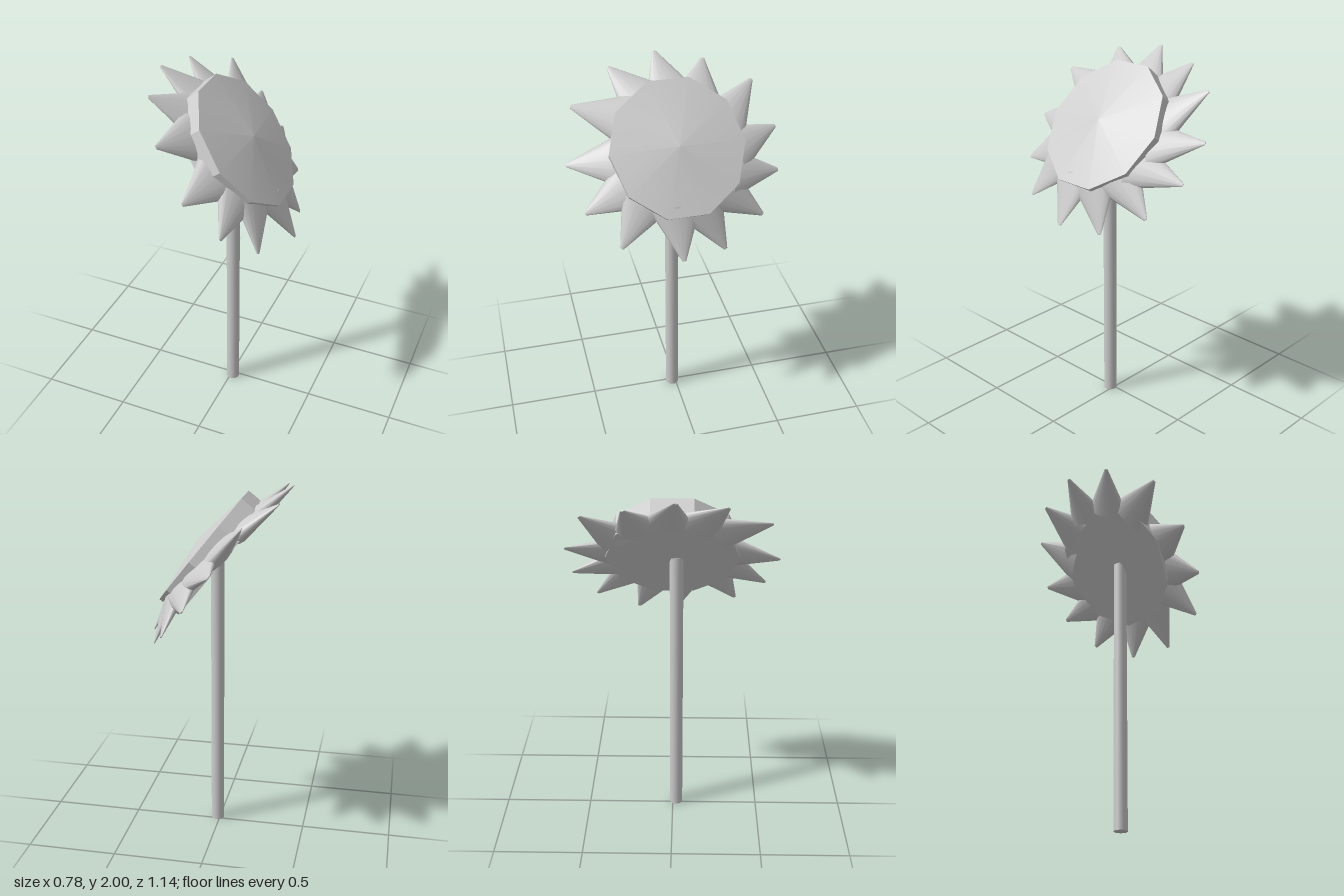
import * as THREE from 'three';

const grey = new THREE.MeshStandardMaterial({ color: 0xcccccc });
const greyFlat = new THREE.MeshStandardMaterial({ color: 0xcccccc, flatShading: true });

const TILT = 0.902;       // lean of the flower head towards +x
const THICKNESS = 0.13;   // depth of the seed disc
const DOME = 0.045;       // rise of the disc's front face

// Petals: tip x, y, z and the angle (degrees) of the root around the disc
const PETALS = [
  [-0.39, 2.0, 0.02, 185], [-0.33, 1.96, 0.28, 156], [-0.18, 1.83, 0.51, 129],
  [-0.02, 1.58, 0.57, 86], [0.15, 1.38, 0.51, 59], [0.29, 1.23, 0.35, 40],
  [0.38, 1.16, 0.04, 10], [0.32, 1.16, -0.2, -15], [0.22, 1.28, -0.43, -42],
  [0.08, 1.46, -0.55, -60], [-0.06, 1.65, -0.57, -85], [-0.2, 1.87, -0.47, -113],
  [-0.35, 1.95, -0.24, -147],
];

// A flattened, slightly blunt cone running from its root to its tip
function makePetal(root, tip) {
  const dir = tip.clone().sub(root);
  const length = dir.length();
  dir.normalize();
  const side = dir.clone().cross(new THREE.Vector3(0, 1, 0)).normalize();
  const up = side.clone().cross(dir);
  const geometry = new THREE.CylinderGeometry(0.07, 1, length, 16);
  geometry.translate(0, length / 2, 0);
  geometry.scale(0.14, 1, 0.05);
  const petal = new THREE.Mesh(geometry, grey);
  petal.quaternion.setFromRotationMatrix(new THREE.Matrix4().makeBasis(side, dir, up));
  petal.position.copy(root);
  petal.name = 'petal';
  return petal;
}

export function createModel() {
  const flower = new THREE.Group();
  flower.name = 'flower';

  // Stem
  const stemHeight = 1.58;
  const stem = new THREE.Mesh(new THREE.CylinderGeometry(0.037, 0.037, stemHeight, 20), grey);
  stem.position.set(0.013, stemHeight / 2, 0.02);
  stem.name = 'stem';
  flower.add(stem);

  // Head: local y is the facing direction, origin at the centre of the front rim
  const head = new THREE.Group();
  head.name = 'flowerHead';
  head.position.set(0.085, 1.665, 0);
  head.rotation.z = -TILT;
  head.updateMatrixWorld(true);
  flower.add(head);

  // Ten-sided seed disc, slightly longer along the slope
  const disc = new THREE.Mesh(new THREE.CylinderGeometry(0.36, 0.36, THICKNESS, 10), greyFlat);
  disc.scale.x = 1.05;
  disc.position.y = -THICKNESS / 2;
  disc.name = 'seedDisc';
  head.add(disc);

  // Shallow domed front of the disc
  const face = new THREE.Mesh(new THREE.ConeGeometry(0.36, DOME, 10, 1, true), grey);
  face.scale.x = 1.05;
  face.position.y = DOME / 2;
  face.name = 'seedFace';
  head.add(face);

  // Ring of petals, set further forward on the lower side
  for (const [x, y, z, degrees] of PETALS) {
    const a = THREE.MathUtils.degToRad(degrees);
    const depth = -0.075 + 0.035 * Math.cos(a);
    const root = new THREE.Vector3(0.3 * Math.cos(a), depth, 0.3 * Math.sin(a));
    const tip = head.worldToLocal(new THREE.Vector3(x, y, z));
    head.add(makePetal(root, tip));
  }

  return flower;
}
